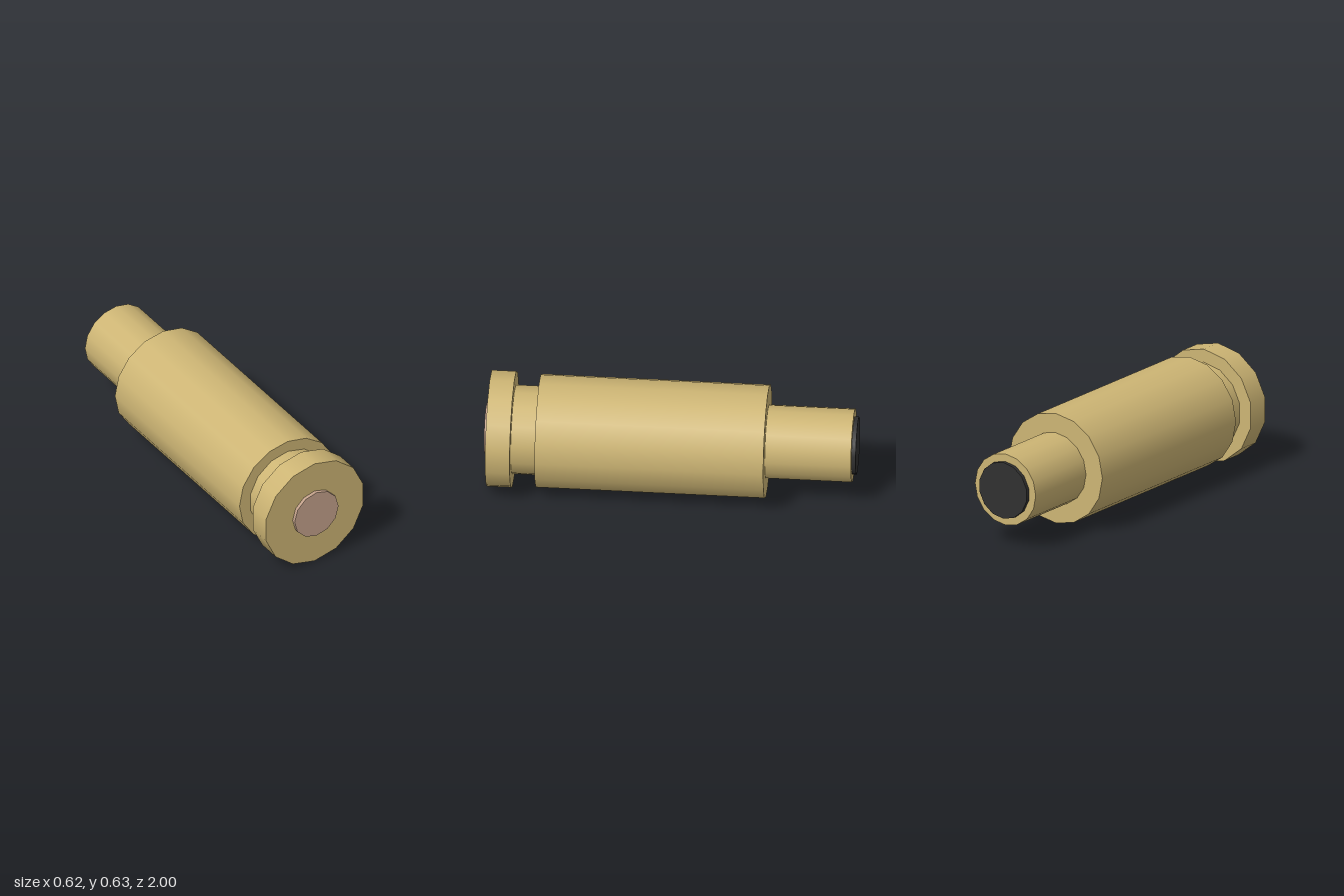
import * as THREE from 'three';

export function createModel() {
  const group = new THREE.Group();
  const mat = (name, color) => {
    const m = new THREE.MeshStandardMaterial({ color });
    m.name = name;
    return m;
  };
  const brass = mat('brass', 0xcdb574);
  const copper = mat('copper', 0xc4a28b);
  const black = mat('black', 0x303030);

  // Closed cylinder lying along z, with a corner at its lowest point
  const axisY = 0.317;
  const section = (name, radius, sides, z0, z1, material) => {
    const geo = new THREE.CylinderGeometry(radius, radius, z1 - z0, sides);
    geo.rotateX(Math.PI / 2);
    const mesh = new THREE.Mesh(geo, material);
    mesh.name = name;
    mesh.position.set(0, axisY, (z0 + z1) / 2);
    group.add(mesh);
  };

  section('primer', 0.14, 12, 0.97, 1, copper);
  section('rim', 0.317, 14, 0.848, 0.98, brass);
  section('groove', 0.243, 14, 0.715, 0.848, brass);
  section('body', 0.308, 16, -0.515, 0.715, brass);
  section('neck', 0.2, 16, -0.978, -0.515, brass);
  section('mouth', 0.158, 14, -1, -0.97, black);

  return group;
}
